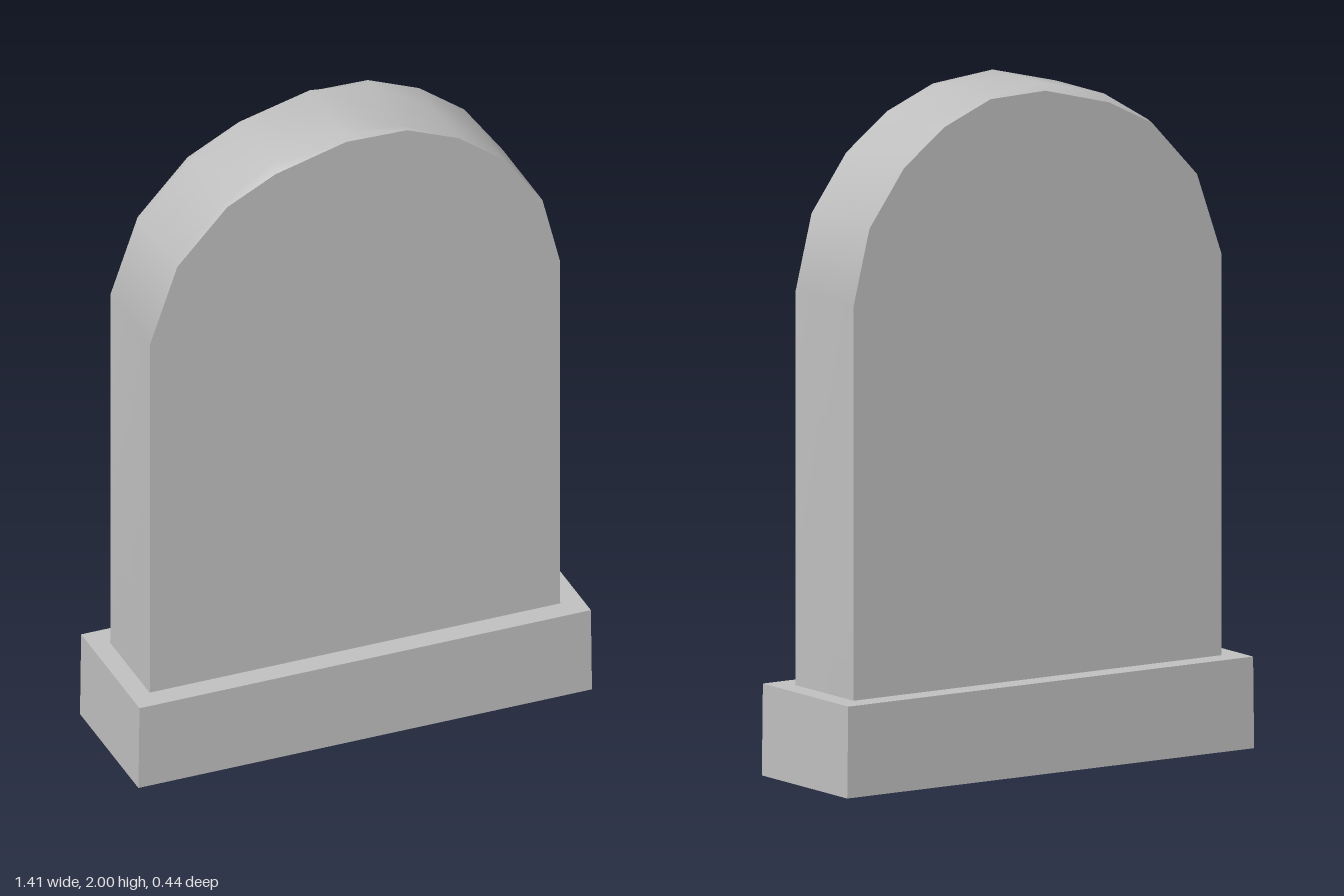
import * as THREE from 'three';

// Outline of the slab, left foot to right foot: x, y, chip depth at the edges
const OUTLINE = [
  [-0.64, 0, 0], [-0.64, 1.44, 0], [-0.555, 1.69, 0.008], [-0.4, 1.855, 0.008],
  [-0.25, 1.945, 0.022], [-0.03, 2, 0.02], [0.16, 1.975, 0], [0.32, 1.91, 0],
  [0.46, 1.805, 0], [0.58, 1.64, 0], [0.635, 1.42, 0], [0.635, 0, 0],
];
const FRONT = 0.147;
const BACK = -0.15;
const DENT = 6; // outline point with a dent in the middle of the rim

// Flat face of the slab, following the chipped edge
function faceGeometry(flip) {
  const points = OUTLINE.map(([x, y, chip]) => new THREE.Vector2(x * flip, y - chip));
  return new THREE.ShapeGeometry(new THREE.Shape(points));
}

// Smooth rim over the arch and down both sides, open at the bottom
function rimGeometry() {
  const columns = [FRONT, 0.122, -0.01, -0.125, BACK];
  const n = columns.length;
  const positions = [];
  const index = [];
  OUTLINE.forEach(([x, y, chip], i) => {
    columns.forEach((z, j) => {
      const atEdge = j === 0 || j === n - 1;
      const drop = atEdge ? chip : (i === DENT && j === 2 ? 0.025 : 0);
      positions.push(x, y - drop, z);
      if (i < OUTLINE.length - 1 && j < n - 1) {
        const a = i * n + j, b = a + n;
        index.push(a, b, a + 1, b, b + 1, a + 1);
      }
    });
  });
  const geometry = new THREE.BufferGeometry();
  geometry.setAttribute('position', new THREE.Float32BufferAttribute(positions, 3));
  geometry.setIndex(index);
  geometry.computeVertexNormals();
  return geometry;
}

function rectangle(Type, x0, x1, z0, z1) {
  return new Type([[x0, z0], [x1, z0], [x1, z1], [x0, z1]].map((p) => new THREE.Vector2(...p)));
}

// Rectangular collar around the foot of the slab, slightly wider at the bottom
function plinthGeometry() {
  const height = 0.268;
  const shape = rectangle(THREE.Shape, -0.705, 0.705, -0.217, 0.221);
  shape.holes.push(rectangle(THREE.Path, -0.642, 0.637, -FRONT - 0.002, -BACK + 0.002));
  const geometry = new THREE.ExtrudeGeometry(shape, { depth: height, bevelEnabled: false });
  geometry.rotateX(-Math.PI / 2);
  const p = geometry.attributes.position;
  for (let i = 0; i < p.count; i++) {
    const outer = Math.abs(p.getX(i)) > 0.69;
    if (outer && p.getY(i) > 0.1) p.setX(i, p.getX(i) * 0.995);
  }
  geometry.computeVertexNormals();
  return geometry;
}

export function createModel() {
  const stone = new THREE.MeshStandardMaterial({ color: 0xbebebe, side: THREE.DoubleSide });
  stone.name = 'stone grey';

  const model = new THREE.Group();
  model.name = 'headstone';
  const add = (parent, name, geometry) => {
    const mesh = new THREE.Mesh(geometry, stone);
    mesh.name = name;
    parent.add(mesh);
    return mesh;
  };

  // Upright slab: a shell with two faces and a rim
  const slab = new THREE.Group();
  slab.name = 'slab';
  model.add(slab);
  add(slab, 'slabFront', faceGeometry(1)).position.z = FRONT;
  const back = add(slab, 'slabBack', faceGeometry(-1));
  back.rotation.y = Math.PI;
  back.position.z = BACK;
  add(slab, 'slabRim', rimGeometry());

  // Base collar
  add(model, 'plinth', plinthGeometry());
  return model;
}
